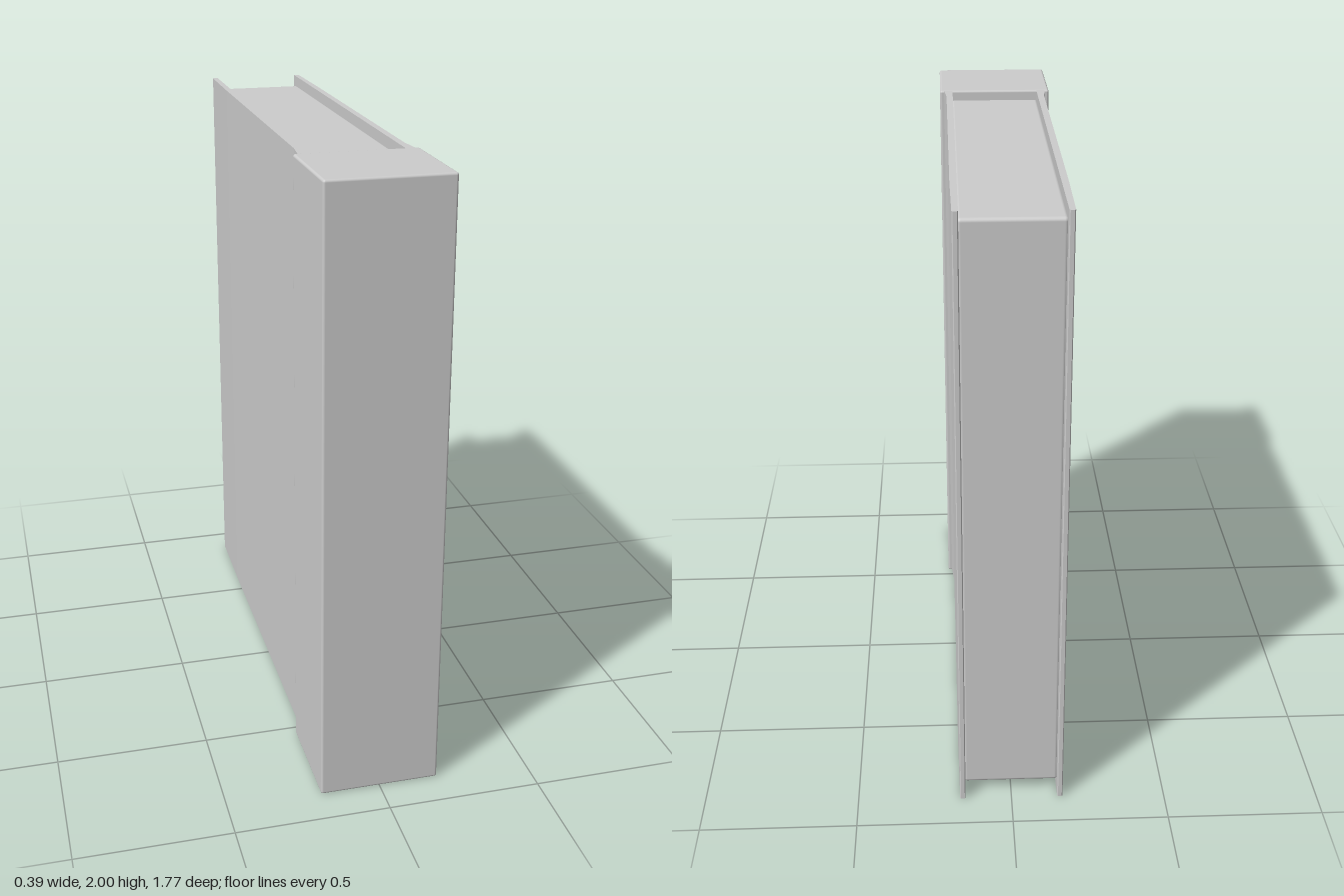
import * as THREE from 'three';
import { RoundedBoxGeometry } from 'three/addons/geometries/RoundedBoxGeometry.js';

const material = new THREE.MeshStandardMaterial({ color: 0xcccccc });

function addMesh(group, name, geometry, x = 0, y = 0, z = 0) {
  const mesh = new THREE.Mesh(geometry, material);
  mesh.name = name;
  mesh.position.set(x, y, z);
  group.add(mesh);
}

// Extrudes an outline of [x, z] points upward from y = 0
function extrudeUp(outline, height) {
  const shape = new THREE.Shape(outline.map(([x, z]) => new THREE.Vector2(x, -z)));
  const geometry = new THREE.ExtrudeGeometry(shape, { depth: height, bevelEnabled: false });
  return geometry.rotateX(-Math.PI / 2);
}

export function createModel() {
  const book = new THREE.Group();
  book.name = 'book';

  // Spine: wide block at the front with softened edges
  addMesh(book, 'spine', new RoundedBoxGeometry(0.39, 2, 0.352, 3, 0.008), 0, 1, 0.706);

  // Page block, set back from the cover edges
  addMesh(book, 'pages', new RoundedBoxGeometry(0.31, 1.93, 1.405, 3, 0.012), 0, 1, -0.1425);

  // Covers: thin boards that flare slightly where they meet the spine
  const board = [
    [0.15, -0.883], [0.153, -0.886], [0.165, -0.886], [0.168, -0.883],
    [0.171, -0.6], [0.172, 0.45], [0.18, 0.53], [0.18, 0.56], [0.15, 0.56],
  ];
  for (const [name, side] of [['leftCover', 1], ['rightCover', -1]]) {
    addMesh(book, name, extrudeUp(board.map(([x, z]) => [side * x, z]), 2));
  }

  // Settle the ends of the boards just inside the spine's top and bottom
  for (const part of book.children) {
    if (part.name.endsWith('Cover')) {
      part.scale.y = 0.999;
      part.position.y = 0.001;
    }
  }
  return book;
}
